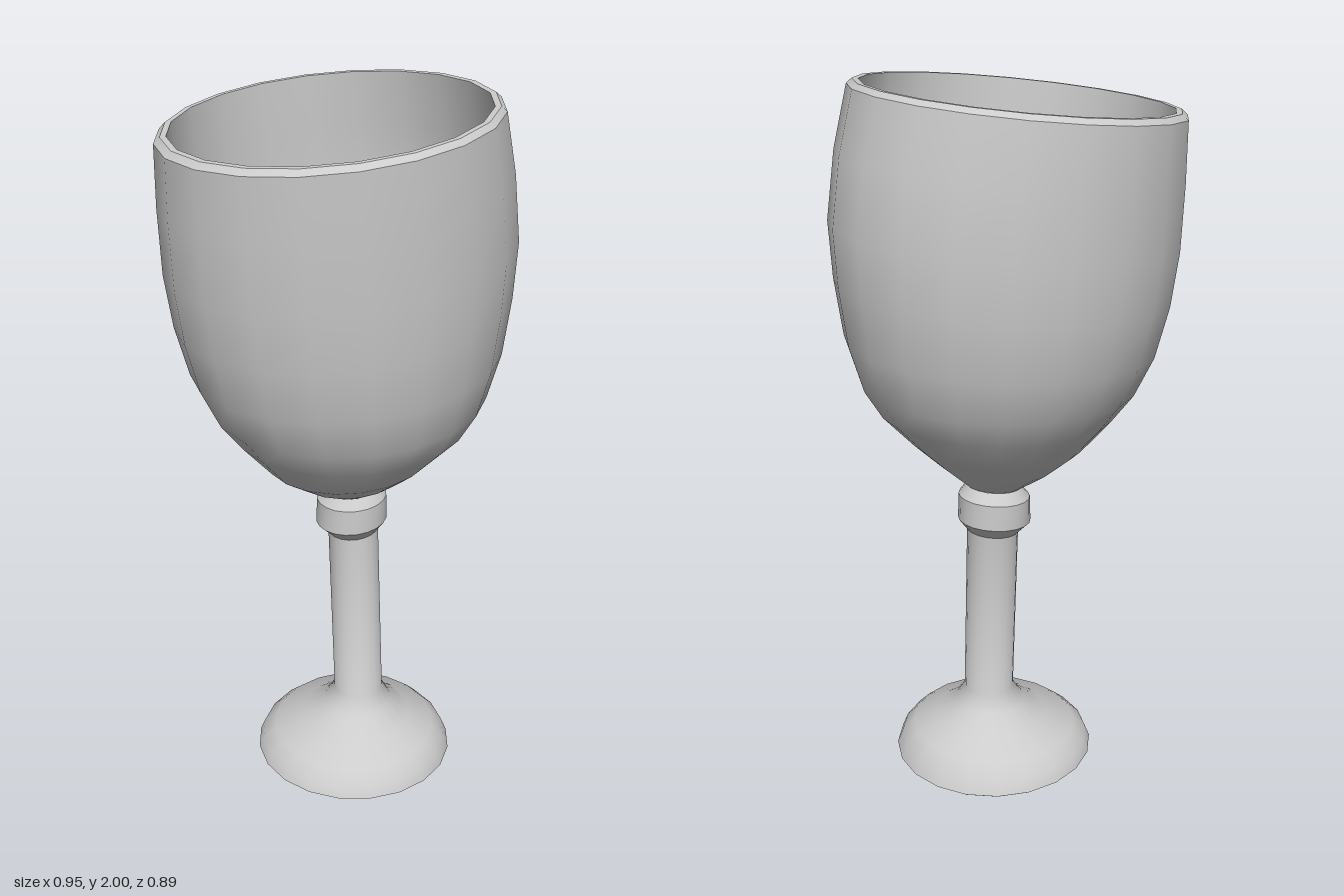
import * as THREE from 'three';
import { toCreasedNormals } from 'three/addons/utils/BufferGeometryUtils.js';

const SIDES = 20;

// Skin a list of tilted rings: [y, centreX, centreZ, radiusX, radiusZ, slopeX, slopeZ, skew]
function loft(rings, crease) {
  const pos = [], index = [];
  for (const [y, cx, cz, rx, rz, slopeX, slopeZ = 0, skew = 0] of rings) {
    for (let j = 0; j < SIDES; j++) {
      const a = (j / SIDES) * Math.PI * 2;
      const dx = rx * Math.cos(a), dz = rz * Math.sin(a);
      pos.push(cx + dx + skew * dz, y + slopeX * dx + slopeZ * dz, cz + dz);
    }
  }
  for (let i = 0; i < rings.length - 1; i++) {
    for (let j = 0; j < SIDES; j++) {
      const k = (j + 1) % SIDES;
      const a = i * SIDES + j, b = a + SIDES, c = i * SIDES + k, d = c + SIDES;
      index.push(a, b, c, c, b, d);
    }
  }
  const geo = new THREE.BufferGeometry();
  geo.setAttribute('position', new THREE.Float32BufferAttribute(pos, 3));
  geo.setIndex(index);
  return toCreasedNormals(geo, THREE.MathUtils.degToRad(crease));
}

export function createModel() {
  const group = new THREE.Group();
  const material = new THREE.MeshStandardMaterial({ color: 0xcccccc, side: THREE.DoubleSide });
  const add = (name, crease, rings) => {
    const mesh = new THREE.Mesh(loft(rings, crease), material);
    mesh.name = name;
    group.add(mesh);
  };

  // Flared foot with a hollow underside, running up into the leaning stem
  add('footAndStem', 42, [
    [0.12, 0.034, 0.038, 0, 0, 0],
    [0.108, 0.034, 0.038, 0.09, 0.09, 0],
    [0.083, 0.031, 0.037, 0.165, 0.165, 0],
    [0.048, 0.028, 0.036, 0.24, 0.24, 0],
    [0.004, 0.029, 0.034, 0.29, 0.29, -0.01],
    [0.008, 0.029, 0.034, 0.295, 0.295, -0.01],
    [0.045, 0.027, 0.034, 0.28, 0.28, 0.01],
    [0.08, 0.027, 0.036, 0.243, 0.243, 0.02],
    [0.118, 0.034, 0.038, 0.163, 0.163, 0.02],
    [0.162, 0.04, 0.038, 0.103, 0.103, 0.02],
    [0.21, 0.043, 0.039, 0.073, 0.073, 0.02],
    [0.75, 0.054, 0.003, 0.073, 0.073, 0.1],
  ]);

  // Collar between stem and bowl
  add('collar', 32, [
    [0.742, 0.054, 0.003, 0.072, 0.072, 0.1],
    [0.778, 0.05, 0, 0.104, 0.102, 0.08],
    [0.852, 0.05, 0, 0.101, 0.101, 0.08],
    [0.882, 0.05, 0.002, 0.077, 0.077, 0.1],
  ]);

  // Bowl: outer wall, then the bevelled rim, then the inner wall
  const outer = [
    [0.882, 0.05, 0.003, 0.079, 0.077, 0.11],
    [0.94, 0.038, 0.008, 0.162, 0.16, 0.1],
    [1.005, 0.027, 0.014, 0.243, 0.235, 0.08],
    [1.10, 0.025, 0.02, 0.328, 0.32, 0.05, 0, 0.01],
    [1.18, 0.021, 0.016, 0.382, 0.37, 0.05, 0, 0.02],
    [1.30, 0.016, 0.01, 0.427, 0.409, 0.07, 0.01, 0.03],
    [1.45, 0.010, 0.005, 0.455, 0.432, 0.09, 0.015, 0.04],
    [1.60, 0.003, 0.004, 0.469, 0.443, 0.095, 0.02, 0.045],
    [1.78, -0.014, 0.002, 0.461, 0.445, 0.1, 0.025, 0.025],
    [1.943, -0.035, 0, 0.44, 0.443, 0.1, 0.03],
  ];
  const rim = [
    [1.957, -0.034, 0, 0.424, 0.428, 0.1, 0.03],
    [1.957, -0.034, 0, 0.408, 0.412, 0.1, 0.03],
  ];
  const inner = outer.slice(3, -1).reverse().map(
    ([y, cx, cz, rx, rz, ...tilt]) => [y + 0.02, cx, cz, rx - 0.04, rz - 0.04, ...tilt]);
  // Rounded floor inside the bowl
  const floor = [
    [1.057, 0.028, 0.015, 0.22, 0.215, 0.06],
    [1.01, 0.032, 0.012, 0.15, 0.147, 0.07],
    [0.98, 0.036, 0.01, 0.075, 0.075, 0.08],
    [0.97, 0.04, 0.008, 0, 0, 0],
  ];
  add('bowl', 32, [...outer, ...rim, ...inner, ...floor]);

  return group;
}
